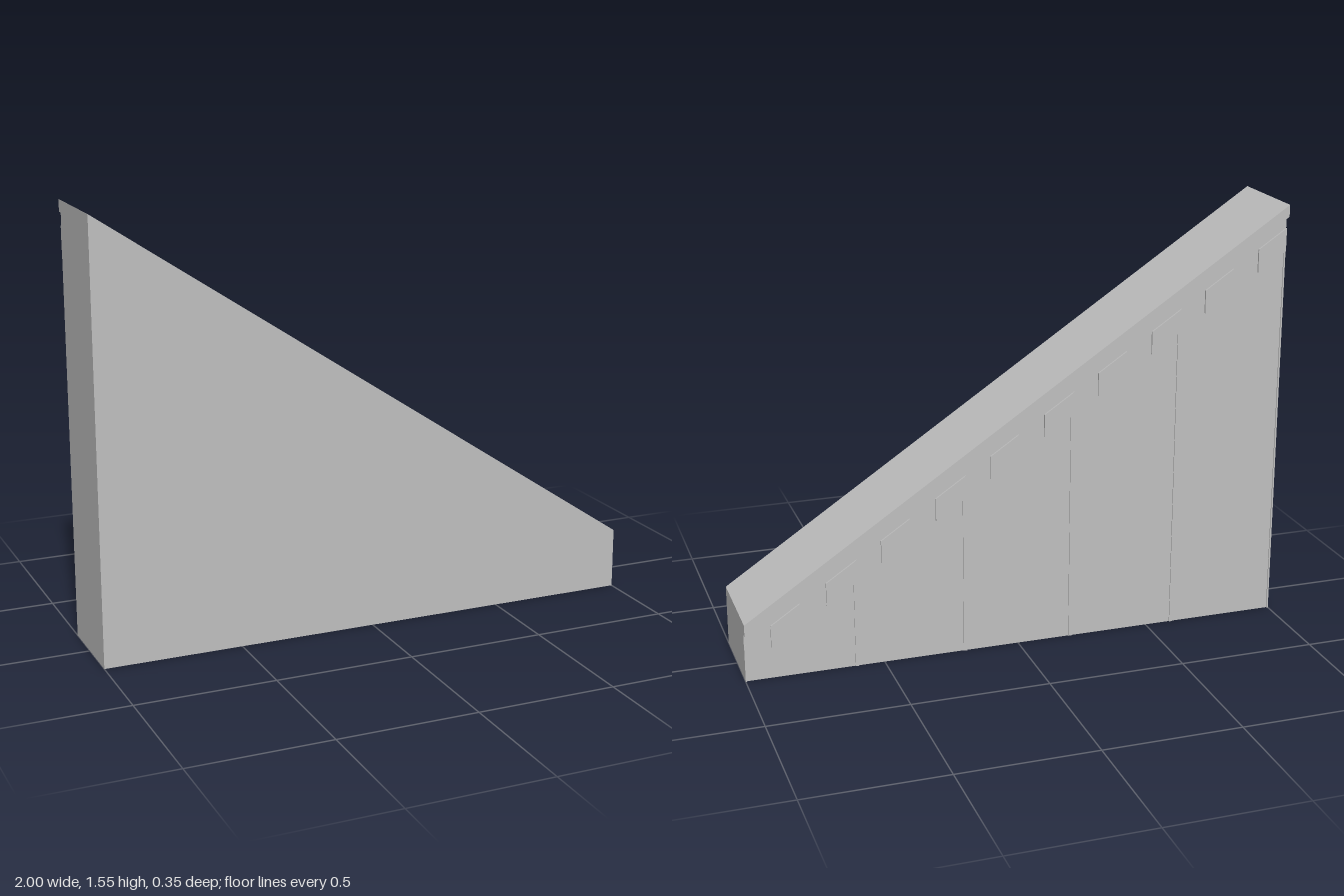
import * as THREE from 'three';

const grey = new THREE.MeshStandardMaterial({ color: 0xc0c0c0 });
grey.name = 'stone grey';

const WALL_BACK = -0.153;
// Height of the sloping top edge at x
const topAt = (x) => 0.222 + (1 - x) * 0.6665;

// Slab between x0 and x1, its edges following the slope at given drops;
// without a lower drop it reaches the ground
function slopedSlab(name, x0, x1, upperDrop, lowerDrop, z0, z1) {
  const low = (x) => (lowerDrop === null ? 0 : topAt(x) - lowerDrop);
  const shape = new THREE.Shape([
    new THREE.Vector2(x0, low(x0)),
    new THREE.Vector2(x1, low(x1)),
    new THREE.Vector2(x1, topAt(x1) - upperDrop),
    new THREE.Vector2(x0, topAt(x0) - upperDrop),
  ]);
  const geometry = new THREE.ExtrudeGeometry(shape, { depth: z1 - z0, bevelEnabled: false });
  geometry.translate(0, 0, z0);
  const mesh = new THREE.Mesh(geometry, grey);
  mesh.name = name;
  return mesh;
}

export function createModel() {
  const model = new THREE.Group();
  model.name = 'slopedWall';

  // Main wall and the cornice overhanging its back
  model.add(slopedSlab('wall', -1, 1, 0, null, WALL_BACK, 0.175));
  model.add(slopedSlab('cornice', -1, 1, 0, 0.043, -0.175, WALL_BACK));

  // Row of shallow blocks under the cornice
  const blocks = new THREE.Group();
  blocks.name = 'corniceBlocks';
  for (let i = 0; i < 10; i++) {
    const x = -1 + i * 0.2;
    blocks.add(slopedSlab('corniceBlock', x, x + 0.105, 0.087, 0.17, -0.16, WALL_BACK));
  }
  model.add(blocks);

  // Thin vertical ribs dividing the back into five panels
  const ribs = new THREE.Group();
  ribs.name = 'panelRibs';
  for (let i = 0; i < 6; i++) {
    const x = -1 + i * 0.4;
    const x0 = Math.max(-1, x - 0.006);
    const x1 = Math.min(1, x + 0.006);
    ribs.add(slopedSlab('panelRib', x0, x1, 0.087, null, -0.157, WALL_BACK));
  }
  model.add(ribs);

  return model;
}
